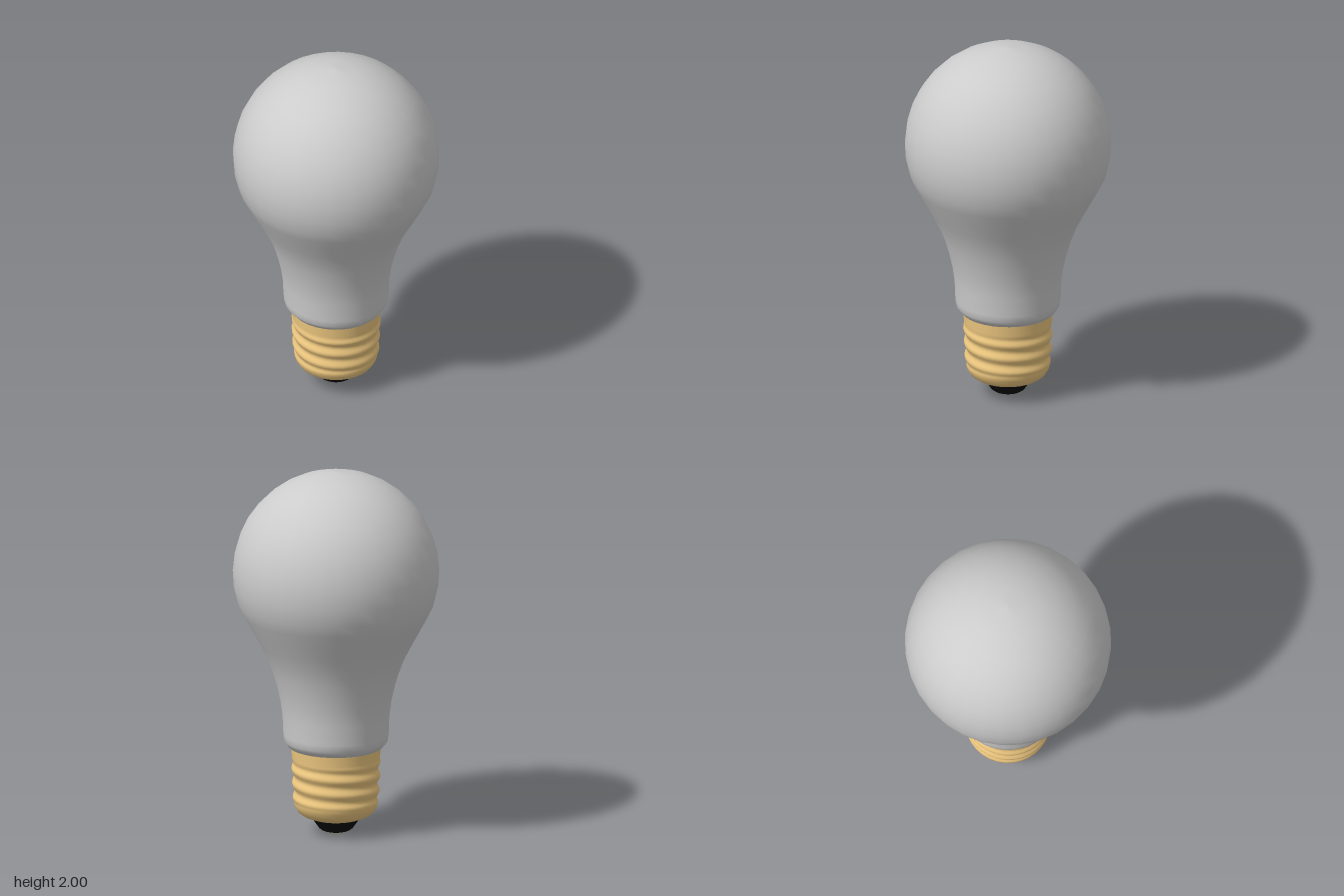
import * as THREE from 'three';
import { mergeVertices } from 'three/addons/utils/BufferGeometryUtils.js';

const SEGMENTS = 32;

// Revolves a bottom-to-top list of [radius, height] pairs
function lathe(name, profile, color) {
  const points = profile.map(([r, y]) => new THREE.Vector2(r, y));
  const geometry = new THREE.LatheGeometry(points, SEGMENTS);
  const material = new THREE.MeshStandardMaterial({ color, side: THREE.DoubleSide });
  const mesh = new THREE.Mesh(geometry, material);
  mesh.name = name;
  return mesh;
}

// Glass envelope: flared neck running into a spherical crown
function makeGlass() {
  const profile = [
    [0.235, 0.472], [0.25, 0.478], [0.265, 0.495], [0.279, 0.515], [0.283, 0.55],
    [0.287, 0.65], [0.298, 0.73], [0.316, 0.81], [0.339, 0.89], [0.369, 0.97],
    [0.41, 1.05], [0.454, 1.13], [0.494, 1.205],
  ];
  const radius = 0.555, steps = 11, start = -0.32;
  for (let i = 0; i <= steps; i++) {
    const a = start + (Math.PI / 2 - start) * i / steps;
    profile.push([i === steps ? 0 : radius * Math.cos(a), 1.445 + radius * Math.sin(a)]);
  }
  return lathe('glassBulb', profile, 0xcccccc);
}

// Screw cap: a rounded cup whose wall is displaced into a helical thread
function makeScrewCap() {
  const profile = [[0.1, 0.082], [0.135, 0.085], [0.175, 0.1], [0.203, 0.12], [0.22, 0.147]];
  const rows = 30;
  for (let i = 0; i <= rows; i++) {
    const t = i / rows;
    profile.push([0.225 + 0.011 * t, 0.165 + 0.255 * t]);
  }
  profile.push([0.239, 0.45], [0.241, 0.48]);

  const cap = lathe('screwCap', profile, 0xeec880);
  let geometry = cap.geometry;
  const pos = geometry.attributes.position;
  const pitch = 0.08, depth = 0.007;
  for (let i = 0; i < pos.count; i++) {
    const x = pos.getX(i), y = pos.getY(i), z = pos.getZ(i);
    const fade = THREE.MathUtils.smoothstep(y, 0.16, 0.2) * (1 - THREE.MathUtils.smoothstep(y, 0.375, 0.42));
    const wave = Math.cos(2 * Math.PI * (y - 0.37) / pitch + Math.atan2(x, z));
    const scale = 1 + fade * depth * wave / Math.hypot(x, z);
    pos.setX(i, x * scale);
    pos.setZ(i, z * scale);
  }
  // Weld the seam so the thread shades smoothly all the way round
  geometry.deleteAttribute('uv');
  geometry.deleteAttribute('normal');
  geometry = mergeVertices(geometry, 1e-4);
  geometry.computeVertexNormals();
  cap.geometry = geometry;
  return cap;
}

export function createModel() {
  const bulb = new THREE.Group();
  bulb.name = 'lightBulb';
  bulb.add(makeGlass(), makeScrewCap());

  // Black insulator cone and the brass contact beneath it
  bulb.add(lathe('insulator', [
    [0, 0.013], [0.06, 0.013], [0.075, 0.018], [0.092, 0.03], [0.118, 0.067], [0.127, 0.09],
  ], 0x0a0a0a));
  bulb.add(lathe('contact', [
    [0, 0], [0.025, 0.002], [0.042, 0.006], [0.05, 0.015],
  ], 0xeec880));
  return bulb;
}
